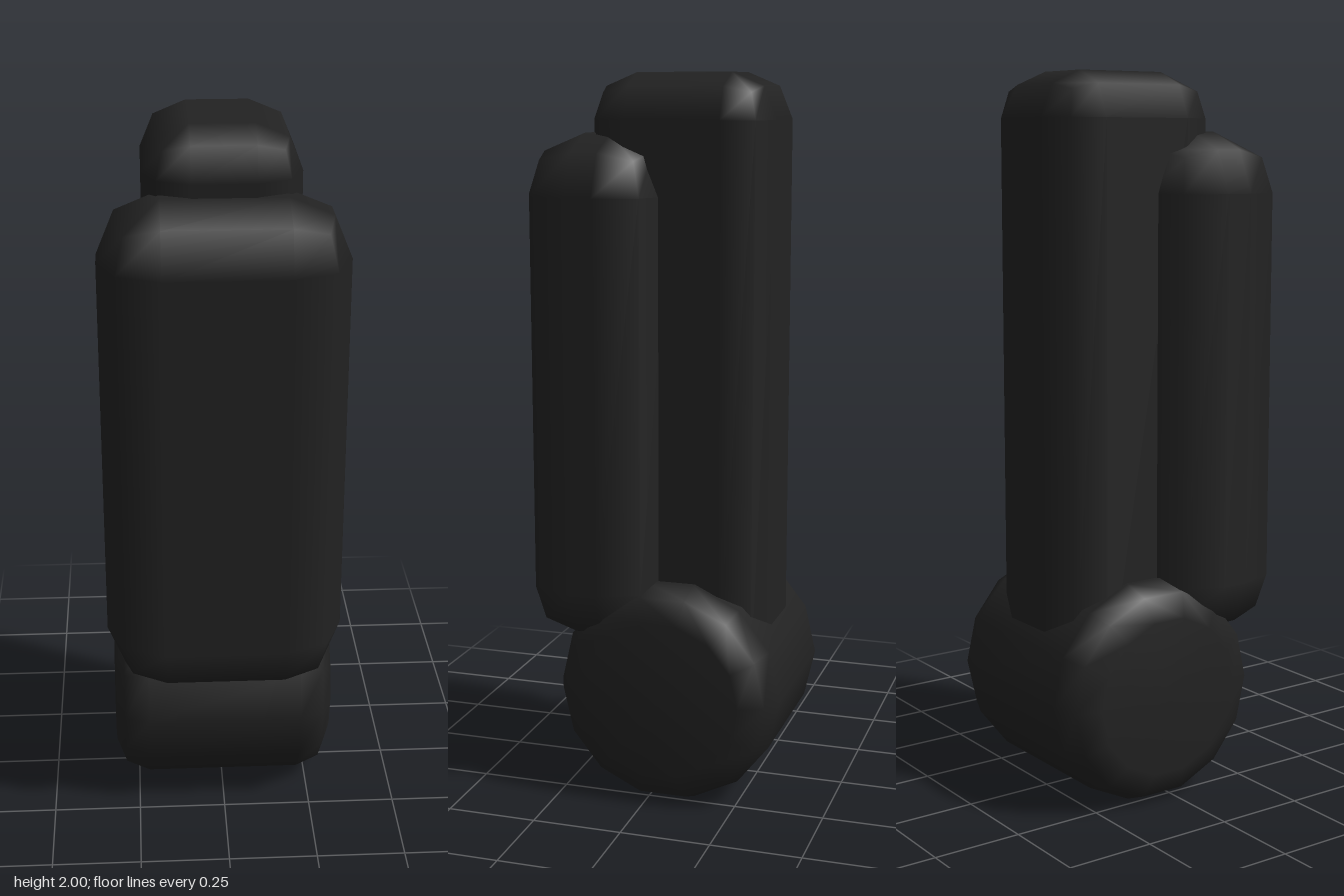
import * as THREE from 'three';
import { RoundedBoxGeometry } from 'three/addons/geometries/RoundedBoxGeometry.js';

export function createModel() {
  const group = new THREE.Group();
  const black = new THREE.MeshStandardMaterial({ color: 0x222222 });
  black.name = 'matte black';

  const add = (name, geometry, x, y, z) => {
    const mesh = new THREE.Mesh(geometry, black);
    mesh.name = name;
    mesh.position.set(x, y, z);
    group.add(mesh);
  };

  // Tall rear post, its lower end sunk into the roller
  add('rearPost', new RoundedBoxGeometry(0.42, 1.8, 0.514, 1, 0.125), 0, 1.1, -0.051);

  // Wide front panel
  add('frontPanel', new RoundedBoxGeometry(0.66, 1.41, 0.404, 1, 0.165), 0, 1.135, 0.167);

  // Fourteen-sided roller across the base, with rounded rims
  const radius = 0.318, half = 0.315, bevel = 0.096;
  const rim = [0, 45, 90].map((deg) => {
    const a = THREE.MathUtils.degToRad(deg);
    return [radius - bevel + bevel * Math.sin(a), half - bevel + bevel * Math.cos(a)];
  });
  const profile = [
    new THREE.Vector2(0, -half),
    ...rim.map(([r, h]) => new THREE.Vector2(r, -h)),
    ...rim.slice().reverse().map(([r, h]) => new THREE.Vector2(r, h)),
    new THREE.Vector2(0, half),
  ];
  const roller = new THREE.LatheGeometry(profile, 14).rotateZ(-Math.PI / 2);
  add('baseRoller', roller, 0, 0.31, -0.05);

  return group;
}
